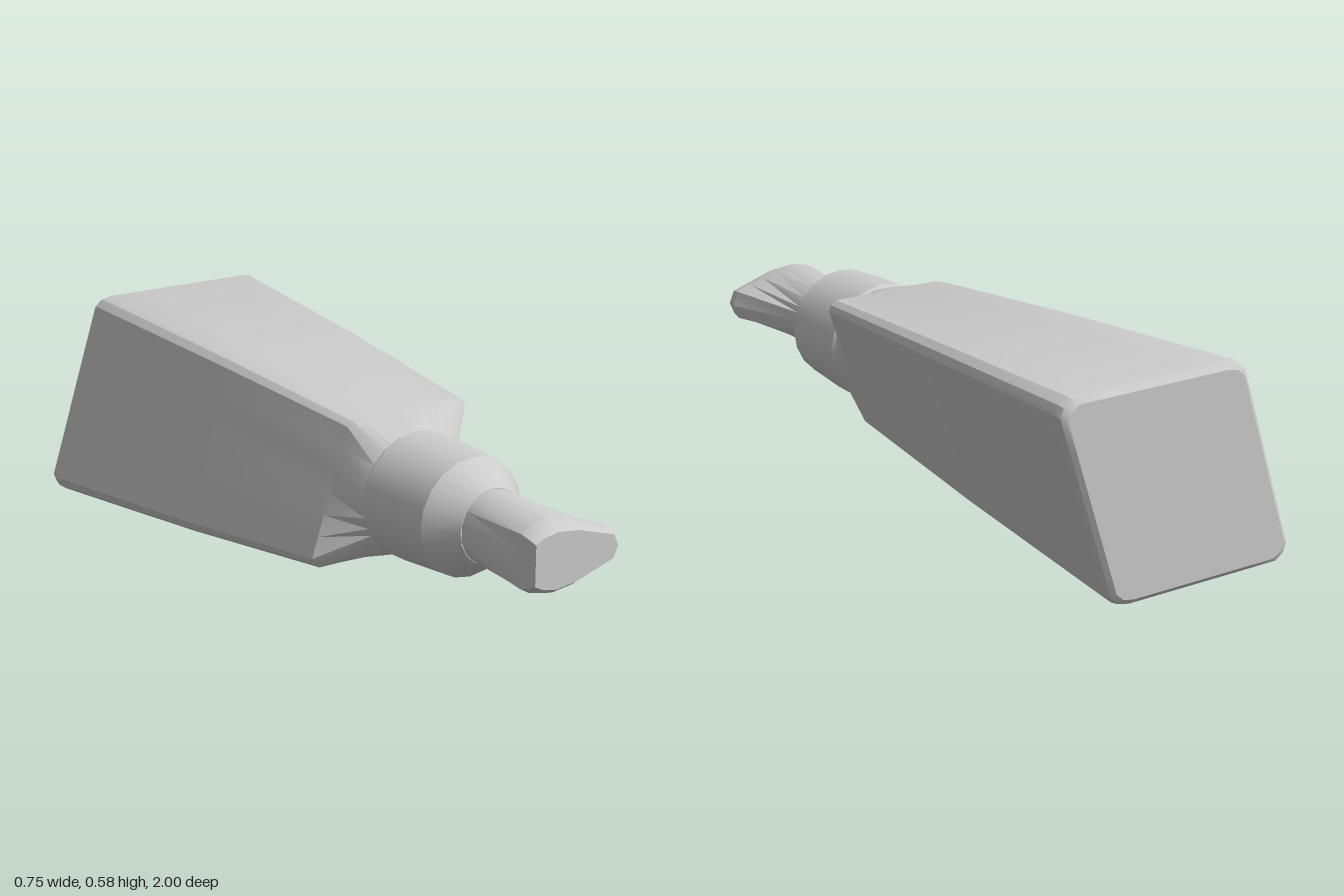
import * as THREE from 'three';
import { toCreasedNormals } from 'three/addons/utils/BufferGeometryUtils.js';

const CENTRE_Y = 0.2925;
const material = new THREE.MeshStandardMaterial({ color: 0xcccccc });

// Split the long edges of a closed outline
function subdivide(outline, maxLength) {
  const result = [];
  outline.forEach(([x, y], i) => {
    const [nx, ny] = outline[(i + 1) % outline.length];
    const n = Math.ceil(Math.hypot(nx - x, ny - y) / maxLength);
    for (let k = 0; k < n; k++) result.push([x + (nx - x) * k / n, y + (ny - y) * k / n]);
  });
  return result;
}

const scaled = (outline, sx, sy = sx) => outline.map(([x, y]) => [x * sx, y * sy]);

// Circle whose points lie in the same directions as those of an outline
const circleLike = (outline, r) => outline.map(([x, y]) => {
  const a = Math.atan2(y, x);
  return [r * Math.cos(a), r * Math.sin(a)];
});

// Closed solid through cross-sections { z, pts }, ordered by rising z
function loft(sections) {
  const n = sections[0].pts.length, pos = [], index = [];
  for (const { z, pts } of sections) for (const [x, y] of pts) pos.push(x, y, z);
  for (let s = 0; s < sections.length - 1; s++) {
    for (let j = 0; j < n; j++) {
      const a = s * n + j, b = s * n + (j + 1) % n;
      index.push(a, b, b + n, a, b + n, a + n);
    }
  }
  const last = (sections.length - 1) * n, back = pos.length / 3;
  pos.push(0, 0, sections[0].z, 0, 0, sections[sections.length - 1].z);
  for (let j = 0; j < n; j++) {
    const k = (j + 1) % n;
    index.push(back, k, j, back + 1, last + j, last + k);
  }
  const g = new THREE.BufferGeometry();
  g.setAttribute('position', new THREE.Float32BufferAttribute(pos, 3));
  g.setIndex(index);
  return g;
}

function addPart(group, name, geometry) {
  const mesh = new THREE.Mesh(toCreasedNormals(geometry, 0.42), material);
  mesh.name = name;
  mesh.position.y = CENTRE_Y;
  group.add(mesh);
}

export function createModel() {
  const group = new THREE.Group();
  group.name = 'nozzle';

  // Slanted body: a bevelled parallelogram narrowing to a round shoulder
  const half = [[0.375, 0.25], [0.365, 0.275], [0.34, 0.2925],
    [-0.15, 0.2925], [-0.185, 0.285], [-0.207, 0.265]];
  const slant = subdivide([...half, ...scaled(half, -1)], 0.1);
  addPart(group, 'body', loft([
    { z: -1, pts: scaled(slant, 0.94) },
    { z: -0.99, pts: scaled(slant, 0.985) },
    { z: -0.965, pts: slant },
    { z: -0.3, pts: scaled(slant, 0.845) },
    { z: 0.26, pts: scaled(slant, 0.685) },
    { z: 0.375, pts: circleLike(slant, 0.17) },
  ]));

  // Round collar with a tapered front
  const profile = [[0, 0.36], [0.168, 0.37], [0.177, 0.385], [0.176, 0.47], [0.165, 0.62],
    [0.104, 0.708], [0, 0.715]].map(([r, z]) => new THREE.Vector2(r, z));
  addPart(group, 'collar', new THREE.LatheGeometry(profile, 20).rotateX(Math.PI / 2));

  // Tip flaring from a round neck to a lopsided wedge
  const upper = [[0.172, 0.042], [0.04, 0.09], [-0.03, 0.1], [-0.075, 0.09], [-0.105, 0.072]];
  const lower = upper.map(([x, y]) => [x, -y]).reverse();
  const wedge = subdivide([[0.188, 0], ...upper, ...lower], 0.05);
  addPart(group, 'tip', loft([
    { z: 0.69, pts: circleLike(wedge, 0.102) },
    { z: 0.71, pts: circleLike(wedge, 0.102) },
    { z: 0.95, pts: wedge },
    { z: 0.985, pts: scaled(wedge, 0.975, 0.88) },
    { z: 1, pts: scaled(wedge, 0.92, 0.76) },
  ]));

  return group;
}
